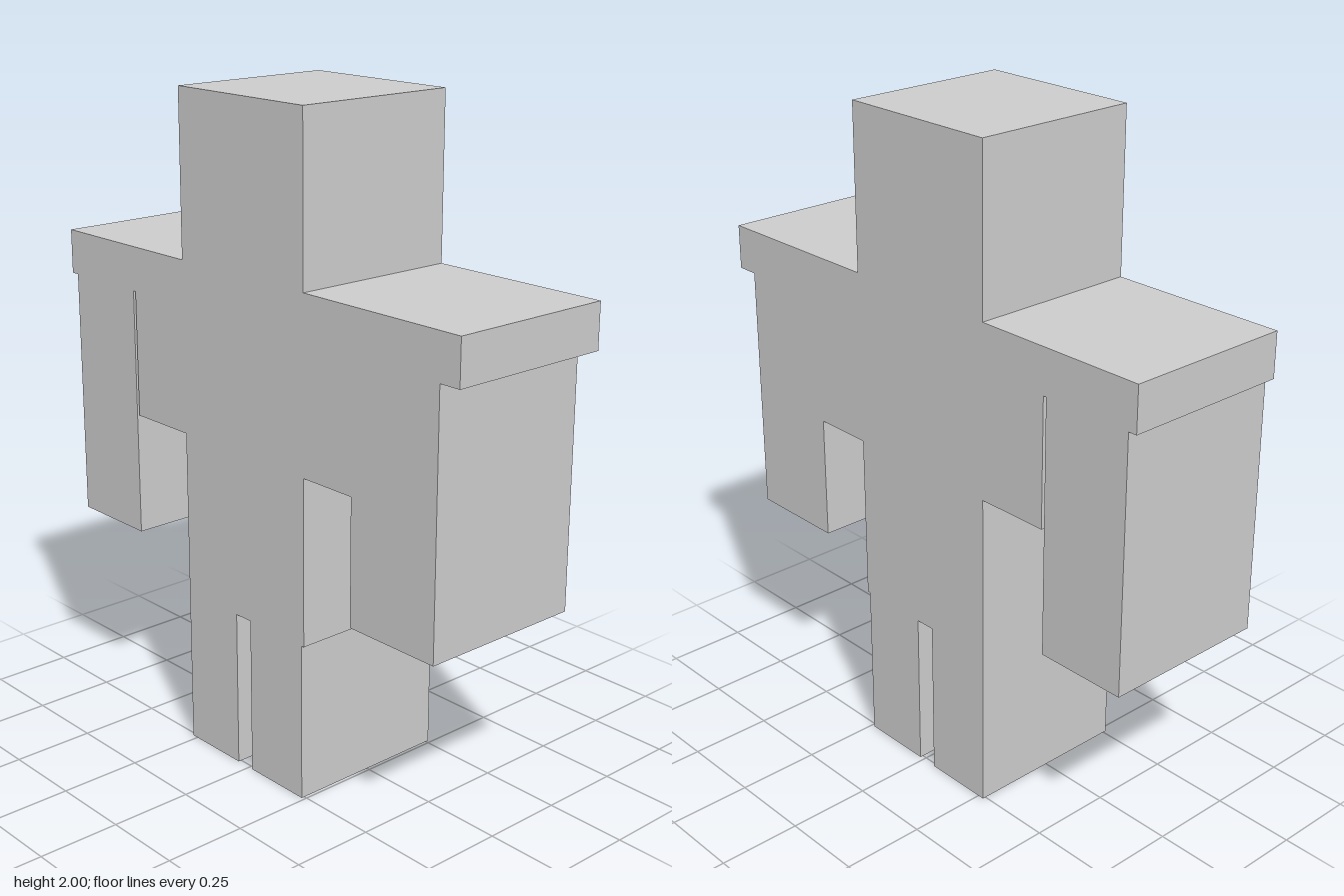
import * as THREE from 'three';

const HALF_WIDTH = 0.26;

export function createModel() {
  const model = new THREE.Group();
  const material = new THREE.MeshStandardMaterial({ color: 0xcccccc, flatShading: true });

  // Every part is a full-width block given by its y and z extents
  const block = (name, y0, y1, z0, z1) => {
    const mesh = new THREE.Mesh(new THREE.BoxGeometry(HALF_WIDTH * 2, y1 - y0, z1 - z0), material);
    mesh.name = name;
    mesh.position.set(0, (y0 + y1) / 2, (z0 + z1) / 2);
    model.add(mesh);
  };

  // Head and the wide shoulder slab
  block('head', 1.51, 2, -0.27, 0.25);
  block('shoulders', 1.375, 1.51, -0.825, 0.825);

  // Torso: wide chest above a narrower waist
  block('chest', 0.99, 1.375, -0.5, 0.44);
  block('waist', 0.485, 0.99, -0.27, 0.25);

  // Arms: the front one touches the chest, the back one leaves a thin slit
  block('frontArm', 0.61, 1.375, 0.44, 0.757);
  block('backArm', 0.61, 1.375, -0.798, -0.51);

  // Legs with a narrow gap between them
  block('frontLeg', 0, 0.485, 0.015, 0.24);
  block('backLeg', 0, 0.485, -0.27, -0.048);

  return model;
}
